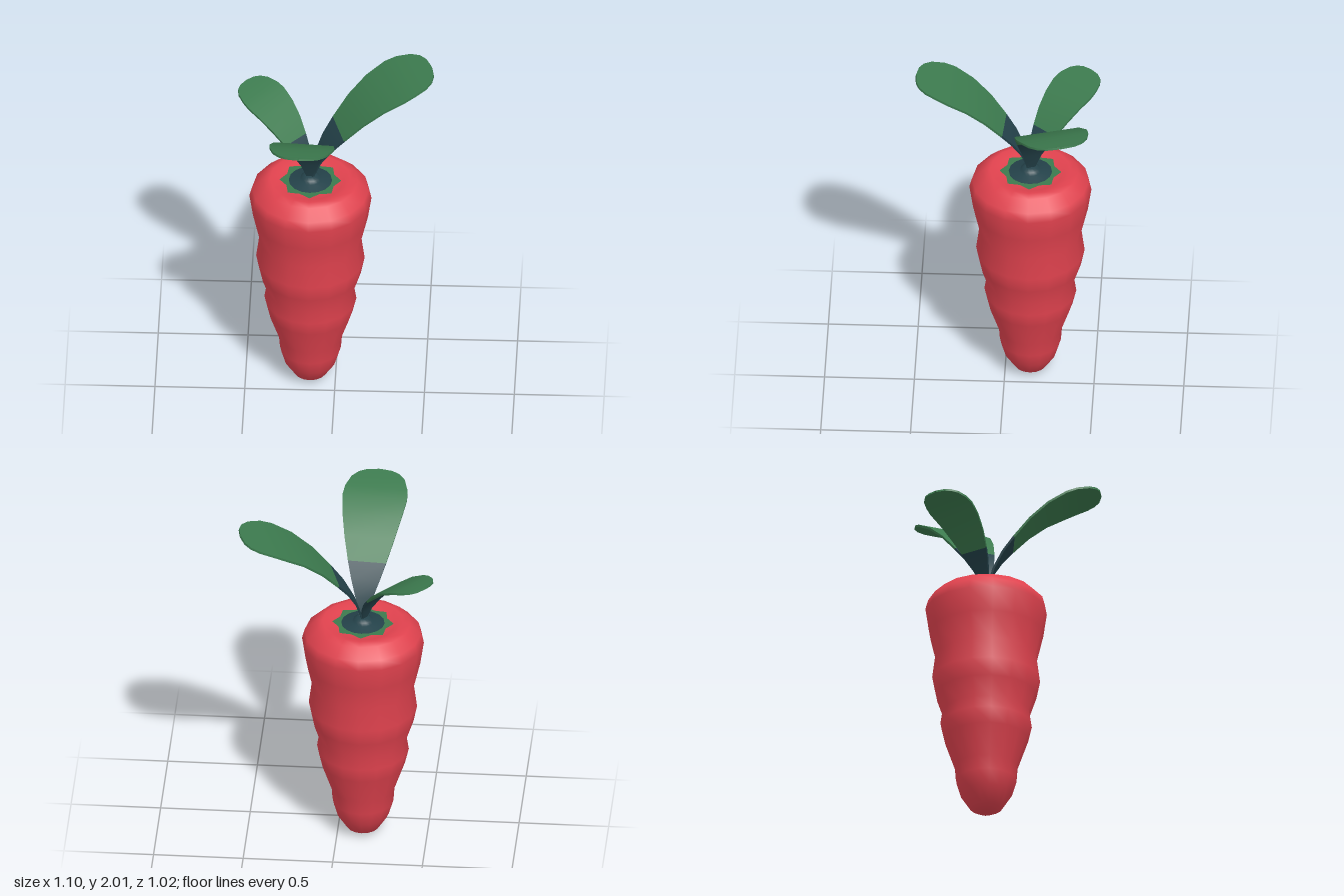
import * as THREE from 'three';

const CX = -0.14, CZ = -0.14; // axis of the root

function material(name, color, side = THREE.FrontSide) {
  const m = new THREE.MeshStandardMaterial({ color, side });
  m.name = name;
  return m;
}

// Leaf rows: distance from the stem, height above it, half width
const LEAF = [
  [0, 0, 0.015], [0.04, 0.125, 0.048], [0.09, 0.215, 0.08], [0.15, 0.292, 0.107],
  [0.24, 0.395, 0.14], [0.34, 0.48, 0.166], [0.44, 0.537, 0.182], [0.5, 0.563, 0.175],
  [0.57, 0.583, 0.15], [0.61, 0.592, 0.115], [0.632, 0.597, 0.07], [0.64, 0.6, 0.005],
];
const DARK_ROWS = 3;

// Thin curved blade pointing along +z, dark at the base
function leafGeometry(reach, height, width) {
  const t = 0.006;
  const rows = LEAF.map(([d, h, w]) => [d * reach, h * height, w * width]);
  const corners = rows.map(([d, h, w], i) => {
    const a = rows[Math.max(i - 1, 0)], b = rows[Math.min(i + 1, rows.length - 1)];
    const n = new THREE.Vector2(-(b[1] - a[1]), b[0] - a[0]).normalize().multiplyScalar(t);
    return [
      [-w, h + n.y, d + n.x], [w, h + n.y, d + n.x],
      [w, h - n.y, d - n.x], [-w, h - n.y, d - n.x],
    ];
  });
  const pos = [], base = [], blade = [];
  // Upper face, right rim, lower face, left rim; each has its own vertices
  for (let s = 0; s < 4; s++) {
    const start = pos.length / 3;
    corners.forEach((c) => pos.push(...c[s], ...c[(s + 1) % 4]));
    for (let i = 0; i < rows.length - 1; i++) {
      const a = start + i * 2;
      (i < DARK_ROWS ? base : blade).push(a, a + 2, a + 1, a + 1, a + 2, a + 3);
    }
  }
  const g = new THREE.BufferGeometry();
  g.setAttribute('position', new THREE.Float32BufferAttribute(pos, 3));
  g.setIndex([...base, ...blade]);
  g.addGroup(0, base.length, 0);
  g.addGroup(base.length, blade.length, 1);
  g.computeVertexNormals();
  return g;
}

function lathe(points, segments) {
  return new THREE.LatheGeometry(points.map(([r, y]) => new THREE.Vector2(r, y)), segments);
}

export function createModel() {
  const model = new THREE.Group();
  model.name = 'carrot';
  const red = material('rootRed', 0xe0424e);
  const green = material('leafGreen', 0x3c7a4e, THREE.DoubleSide);
  const teal = material('stemTeal', 0x24424a, THREE.DoubleSide);

  const add = (name, geometry, mat, y = 0) => {
    const mesh = new THREE.Mesh(geometry, mat);
    mesh.name = name;
    mesh.position.set(CX, y, CZ);
    model.add(mesh);
    return mesh;
  };

  // Bulging root with a shallow dish on top
  add('root', lathe([
    [0, 0], [0.04, 0.003], [0.09, 0.03], [0.145, 0.115], [0.17, 0.2], [0.176, 0.28],
    [0.235, 0.45], [0.256, 0.54], [0.245, 0.61], [0.282, 0.72], [0.302, 0.82],
    [0.285, 0.95], [0.32, 1.1], [0.34, 1.235], [0.325, 1.29], [0.265, 1.347],
    [0.225, 1.36], [0.18, 1.345], [0.12, 1.335], [0, 1.335],
  ], 16), red);

  // Ragged green collar around the stem
  const collar = new THREE.Shape();
  for (let i = 0; i < 16; i++) {
    const a = (i / 16) * Math.PI * 2;
    const r = i % 2 ? 0.142 : 0.172;
    collar[i ? 'lineTo' : 'moveTo'](Math.cos(a) * r, Math.sin(a) * r);
  }
  add('collar', new THREE.ShapeGeometry(collar).rotateX(-Math.PI / 2), green, 1.349);

  // Stem crown
  add('stemCrown', lathe([
    [0.122, 1.34], [0.12, 1.353], [0.06, 1.358], [0.052, 1.375], [0.03, 1.387], [0, 1.388],
  ], 16), teal);

  // Three leaves: heading in the ground plane, then reach, height and width factors
  [
    ['frontLeaf', -0.045, 0.64, 1, 1, 1],
    ['leftLeaf', 0.67, -0.2, 1.09, 1.067, 1.11],
    ['rightLeaf', -0.37, -0.325, 0.77, 0.71, 0.77],
  ].forEach(([name, dx, dz, reach, height, width]) => {
    const leaf = add(name, leafGeometry(reach, height, width), [teal, green], 1.36);
    leaf.rotation.y = Math.atan2(dx, dz);
  });

  return model;
}
